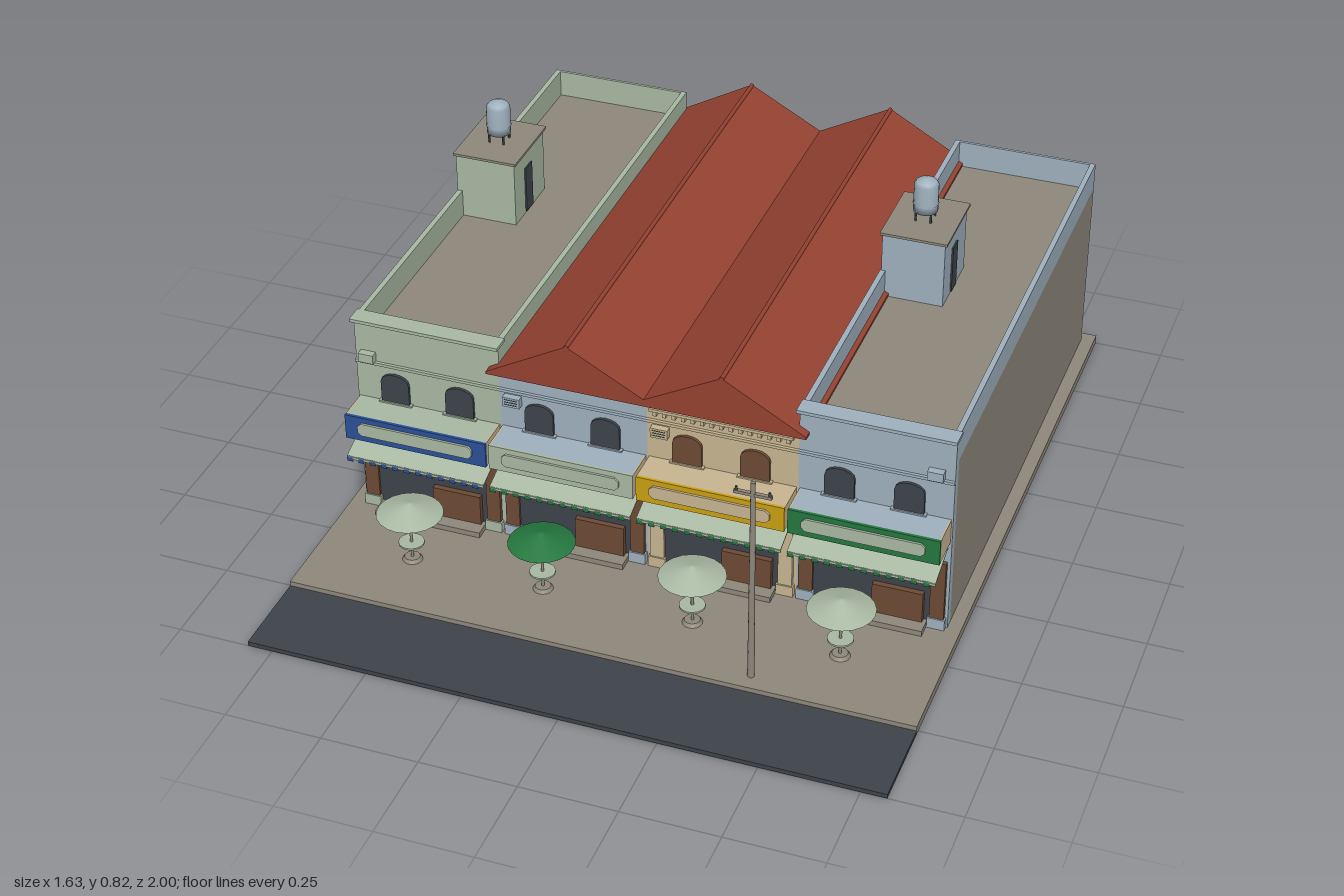
import * as THREE from 'three';

const colours = {
  sage: 0xa9b9a3, paleBlue: 0x9fb1be, beige: 0xc8b591, stone: 0x8f887c, slate: 0x3e444b,
  tileRed: 0x964232, wood: 0x6d4a34, signBlue: 0x2a4f98, signYellow: 0xcaa012, signGreen: 0x25773f,
};
const M = {};
for (const [name, color] of Object.entries(colours)) {
  M[name] = new THREE.MeshStandardMaterial({ color });
  M[name].name = name;
}
const awningCloth = M.sage;

function add(parent, name, geometry, material) {
  const mesh = new THREE.Mesh(geometry, material);
  mesh.name = name;
  parent.add(mesh);
  return mesh;
}

// Box given by its low and high limits on each axis
function box(parent, name, mat, x0, x1, y0, y1, z0, z1) {
  const m = add(parent, name, new THREE.BoxGeometry(x1 - x0, y1 - y0, z1 - z0), mat);
  m.position.set((x0 + x1) / 2, (y0 + y1) / 2, (z0 + z1) / 2);
  return m;
}

function cyl(parent, name, mat, rTop, rBottom, y0, y1, x, z, sides = 16) {
  const m = add(parent, name, new THREE.CylinderGeometry(rTop, rBottom, y1 - y0, sides), mat);
  m.position.set(x, (y0 + y1) / 2, z);
  return m;
}

function extrude(points, depth) {
  const shape = new THREE.Shape(points.map(([x, y]) => new THREE.Vector2(x, y)));
  return new THREE.ExtrudeGeometry(shape, { depth, bevelEnabled: false });
}

// Thin plate with an arched top, standing on y0
function arch(parent, name, mat, x, y0, w, h, z) {
  const pts = [[-w / 2, 0], [w / 2, 0]];
  const rise = w * 0.32;
  for (let i = 0; i <= 8; i++) {
    const a = (i / 8) * Math.PI;
    pts.push([Math.cos(a) * w / 2, h - rise + Math.sin(a) * rise]);
  }
  add(parent, name, extrude(pts, 0.008), mat).position.set(x, y0, z);
}

// Thin plate with cut corners
function cutPlate(parent, name, mat, x, y, w, h, z, c) {
  const a = w / 2, b = h / 2;
  const pts = [[-a + c, -b], [a - c, -b], [a, -b + c], [a, b - c], [a - c, b], [-a + c, b], [-a, b - c], [-a, -b + c]];
  add(parent, name, extrude(pts, 0.006), mat).position.set(x, y, z);
}

const FRONT = 0.385, BACK = -0.968, W = 0.39;

const houses = [
  { wall: M.sage, sign: M.signBlue, panel: M.sage, fringe: M.signBlue, glass: M.slate, pillar: M.wood, flat: true, backDoor: M.stone },
  { wall: M.paleBlue, sign: M.sage, panel: M.sage, fringe: M.signGreen, glass: M.slate, pillar: M.wood, flat: false, backDoor: M.stone },
  { wall: M.beige, sign: M.signYellow, panel: M.beige, fringe: M.signGreen, glass: M.wood, pillar: M.beige, flat: false, backDoor: M.slate },
  { wall: M.paleBlue, sign: M.signGreen, panel: M.sage, fringe: M.signGreen, glass: M.slate, pillar: M.wood, flat: true, backDoor: M.slate },
];

function shopfront(g, h, x0, x1) {
  const xc = (x0 + x1) / 2;
  box(g, 'shopGlass', M.slate, x0 + 0.045, x1 - 0.045, 0.03, 0.225, FRONT, FRONT + 0.005);
  for (const [a, b] of [[x0 + 0.008, x0 + 0.045], [x1 - 0.045, x1 - 0.008]]) {
    box(g, 'shopPillar', h.pillar, a, b, 0.055, 0.225, FRONT, FRONT + 0.012);
    box(g, 'pillarBase', h.wall, a - 0.004, b + 0.004, 0.025, 0.055, FRONT, FRONT + 0.016);
  }
  box(g, 'shopCounter', M.wood, x0 + 0.2, x0 + 0.33, 0.04, 0.125, FRONT, FRONT + 0.02);
  cutPlate(g, 'shopPlaque', M.beige, xc, 0.182, 0.23, 0.036, FRONT + 0.005, 0.01);
  box(g, 'frontStep', M.stone, x0 + 0.05, x1 - 0.05, 0.025, 0.04, FRONT, 0.44);

  // Sign box above the shop
  box(g, 'signBox', h.wall, x0 + 0.008, x1 - 0.008, 0.286, 0.354, FRONT, 0.472);
  box(g, 'signFace', h.sign, x0 + 0.004, x1 - 0.004, 0.285, 0.355, 0.472, 0.48);
  for (const x of [x0 + 0.004, x1 - 0.008])
    box(g, 'signEnd', M.beige, x, x + 0.004, 0.286, 0.354, FRONT, 0.472);
  cutPlate(g, 'signPanel', h.panel, xc, 0.322, 0.31, 0.036, 0.48, 0.01);

  // Sloping awning with a striped fringe
  const awning = box(g, 'awning', awningCloth, x0 + 0.008, x1 - 0.008, 0.251, 0.255, FRONT, 0.495);
  awning.rotation.x = 0.33;
  const n = 24, step = (W - 0.016) / n;
  for (let i = 0; i < n; i++) {
    const x = x0 + 0.008 + i * step;
    box(g, 'awningFringe', i % 2 ? awningCloth : h.fringe, x, x + step, i % 2 ? 0.228 : 0.222, 0.238, 0.488, 0.491);
  }
}

function house(h, i) {
  const g = new THREE.Group();
  g.name = 'house' + (i + 1);
  const x0 = -0.78 + i * W, x1 = x0 + W, top = h.flat ? 0.59 : 0.525;
  box(g, 'houseBody', M.stone, x0, x1, 0.025, 0.515, BACK + 0.008, 0.36);
  box(g, 'frontWall', h.wall, x0, x1, 0.025, top, 0.36, FRONT);
  box(g, 'backWall', h.wall, x0, x1, 0.025, top, BACK, BACK + 0.008);
  box(g, 'floorMoulding', h.wall, x0, x1, 0.46, 0.468, FRONT, FRONT + 0.008);

  // Upper front windows
  for (const f of [0.27, 0.72]) {
    arch(g, 'frontWindow', h.glass, x0 + f * W, 0.355, 0.076, 0.085, FRONT);
    box(g, 'windowSill', h.wall, x0 + f * W - 0.045, x0 + f * W + 0.045, 0.352, 0.358, FRONT, FRONT + 0.012);
  }

  // Back windows and door
  const bx = x0 + 0.3 * W;
  for (const y of [0.385, 0.14]) cutPlate(g, 'backWindow', M.slate, bx, y, 0.055, 0.085, BACK - 0.005, 0.016);
  arch(g, 'backDoor', h.backDoor, x0 + 0.71 * W, 0.027, 0.06, 0.145, BACK - 0.005);

  if (h.flat) {
    // Parapet and front coping
    for (const x of [x0, x1 - 0.014]) box(g, 'sideParapet', h.wall, x, x + 0.014, 0.515, 0.59, BACK + 0.008, 0.36);
    box(g, 'coping', h.wall, x0 - 0.004, x1 + 0.004, 0.583, 0.592, 0.352, 0.402);
    const ax = i ? 0.735 : -0.745;
    box(g, 'wallUnit', h.wall, ax - 0.02, ax + 0.02, 0.47, 0.495, FRONT, 0.405);
    stairHouse(g, h.wall, x0 + (i ? 0.003 : 0));
  } else {
    box(g, 'wallUnit', h.wall, x0 + 0.013, x0 + 0.058, 0.425, 0.452, FRONT, 0.403);
    for (let k = 0; k < 3; k++)
      box(g, 'unitGrille', M.slate, x0 + 0.018, x0 + 0.053, 0.431 + k * 0.007, 0.433 + k * 0.007, 0.403, 0.404);
  }
  if (i === 2) {
    // Bracketed cornice
    box(g, 'cornice', h.wall, x0 + 0.01, x1 - 0.01, 0.5, 0.508, FRONT, 0.402);
    for (let k = 0; k < 15; k++) {
      const x = x0 + 0.018 + k * 0.0245;
      box(g, 'corniceBracket', h.wall, x, x + 0.01, 0.485, 0.5, FRONT, 0.397);
    }
  }
  shopfront(g, h, x0, x1);
  return g;
}

// Rooftop stair room with water tank
function stairHouse(g, wall, x0) {
  const x1 = x0 + 0.165, xc = (x0 + x1) / 2, z = -0.365;
  box(g, 'stairRoom', wall, x0, x1, 0.515, 0.698, z - 0.1, z + 0.1);
  box(g, 'stairRoomRoof', M.stone, x0 - 0.005, x1 + 0.007, 0.698, 0.705, z - 0.108, z + 0.108);
  box(g, 'stairRoomDoor', M.slate, x1, x1 + 0.004, 0.52, 0.65, z - 0.012, z + 0.032);
  for (const sx of [-1, 1]) for (const sz of [-1, 1])
    cyl(g, 'tankLeg', M.slate, 0.003, 0.003, 0.705, 0.735, xc + sx * 0.02, z + sz * 0.02, 6);
  const r = 0.032;
  const profile = [[0, 0.73], [r, 0.73], [r, 0.75], [r + 0.002, 0.752], [r, 0.754], [r, 0.806], [0.026, 0.815], [0.01, 0.822], [0, 0.823]];
  add(g, 'waterTank', new THREE.LatheGeometry(profile.map(p => new THREE.Vector2(...p)), 20), M.paleBlue).position.set(xc, 0, z);
}

function umbrella(x, cloth) {
  const g = new THREE.Group(), z = 0.575;
  g.name = 'umbrellaTable';
  cyl(g, 'umbrellaPole', M.stone, 0.004, 0.004, 0.025, 0.19, x, z, 8);
  cyl(g, 'umbrellaBase', M.stone, 0.02, 0.026, 0.025, 0.034, x, z);
  cyl(g, 'tableTop', M.sage, 0.033, 0.033, 0.075, 0.08, x, z);
  cyl(g, 'umbrellaCloth', cloth, 0.003, 0.085, 0.168, 0.198, x, z, 20);
  return g;
}

export function createModel() {
  const model = new THREE.Group();
  model.name = 'shophouseRow';

  // Ground
  box(model, 'pavement', M.stone, -0.815, 0.815, 0, 0.025, -1, 0.765);
  box(model, 'road', M.slate, -0.815, 0.815, 0, 0.012, 0.765, 1);

  houses.forEach((h, i) => model.add(house(h, i)));

  // Twin gable roof
  const roof = [[-0.415, 0.517], [0.415, 0.517], [0.415, 0.524], [0.2, 0.645], [0, 0.537], [-0.2, 0.645], [-0.415, 0.524]];
  add(model, 'twinGableRoof', extrude(roof, 1.387), M.tileRed).position.z = -0.977;
  for (const x of [-0.2, 0.2]) {
    const ridge = cyl(model, 'ridgeTile', M.tileRed, 0.006, 0.006, 0, 1.387, x, 0, 8);
    ridge.rotation.x = Math.PI / 2;
    ridge.position.set(x, 0.643, -0.2835);
  }

  // Street furniture
  [-0.565, -0.21, 0.185, 0.565].forEach((x, i) => model.add(umbrella(x, i === 1 ? M.signGreen : M.sage)));
  cyl(model, 'utilityPole', M.stone, 0.006, 0.009, 0.025, 0.6, 0.387, 0.72, 10);
  box(model, 'poleCrossarm', M.stone, 0.34, 0.434, 0.562, 0.57, 0.715, 0.725);
  for (const x of [0.346, 0.428]) cyl(model, 'insulator', M.slate, 0.003, 0.004, 0.57, 0.58, x, 0.72, 8);

  return model;
}
